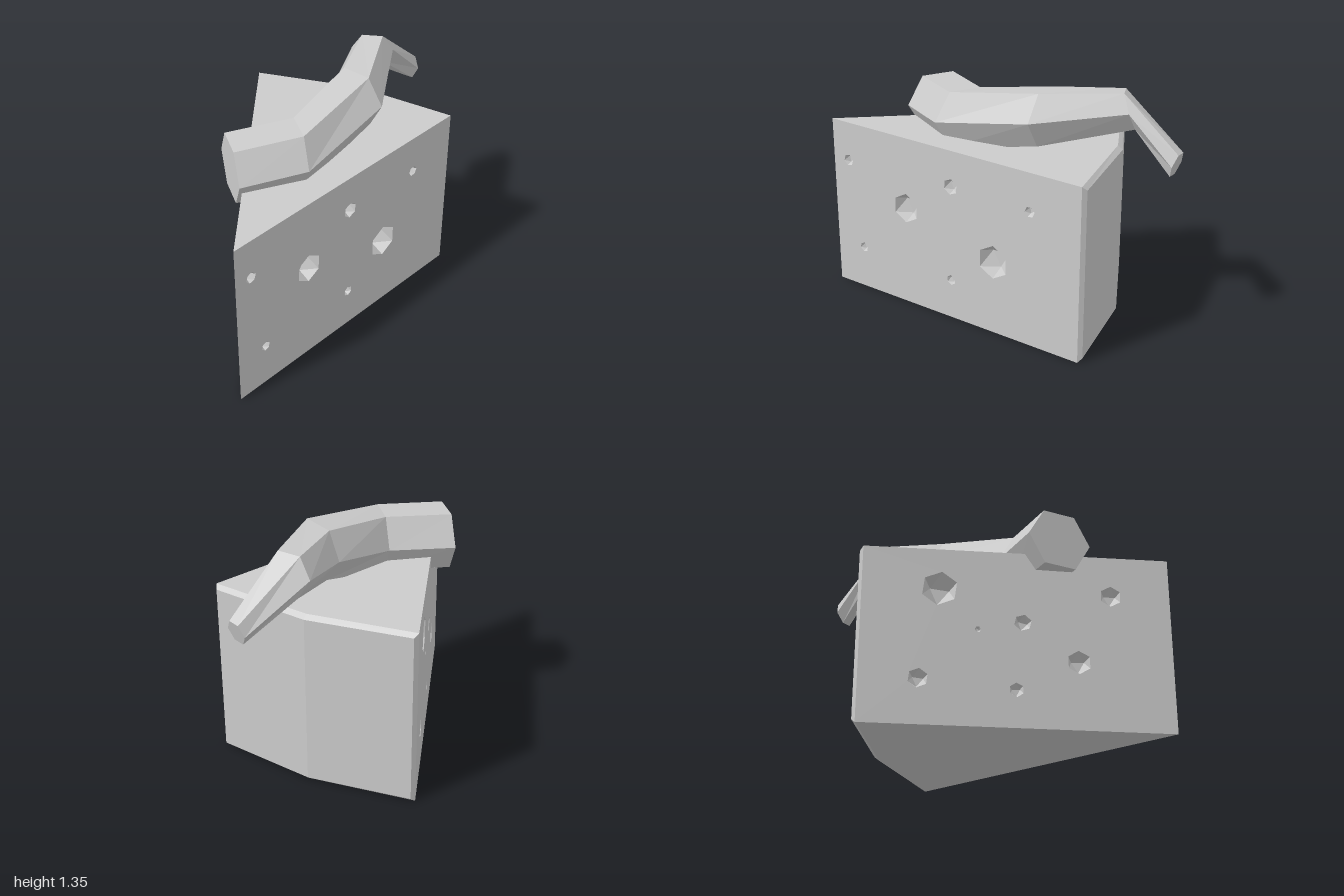
import * as THREE from 'three';

const material = new THREE.MeshStandardMaterial({ color: 0xcccccc, flatShading: true });
const H = 1.01, TIP_Z = 0.99, BACK_X = 0.59, BACK_Z = -0.56;
const LEN = Math.hypot(BACK_X, TIP_Z - BACK_Z);

// Mesh from a list of triangles, each three [x, y, z] corners
function facetMesh(name, tris) {
  const geo = new THREE.BufferGeometry();
  geo.setAttribute('position', new THREE.Float32BufferAttribute(tris.flat(2), 3));
  geo.computeVertexNormals();
  const mesh = new THREE.Mesh(geo, material);
  mesh.name = name;
  return mesh;
}

// Flat side wall pierced by hexagonal holes, each with a faceted hollow behind it
// holes: [distance along wall, height, radius, rotation]
function sideWall(name, origin, dir, holes) {
  const group = new THREE.Group();
  group.name = name;
  const shape = new THREE.Shape([[0, 0], [LEN, 0], [LEN, H], [0, H]].map(p => new THREE.Vector2(...p)));
  const tris = [];
  for (const [s, y, r, turn] of holes) {
    const at = (k, radius, depth) => {
      const a = turn + k * Math.PI / 3;
      return [s + radius * Math.cos(a), y + radius * Math.sin(a), -depth];
    };
    const rim = k => at(k, r, 0), floor = j => at(2 * j, r * 0.6, r * 0.8);
    shape.holes.push(new THREE.Path([5, 4, 3, 2, 1, 0].map(k => new THREE.Vector2(...rim(k).slice(0, 2)))));
    tris.push([floor(0), floor(1), floor(2)]);
    for (let j = 0; j < 3; j++) {
      tris.push([floor(j), rim(2 * j - 1), rim(2 * j)],
        [floor(j), rim(2 * j), rim(2 * j + 1)],
        [floor(j), rim(2 * j + 1), floor(j + 1)]);
    }
  }
  const wall = new THREE.Mesh(new THREE.ShapeGeometry(shape), material);
  wall.name = name + 'Face';
  group.add(wall, facetMesh(name + 'Hollows', tris));

  const up = new THREE.Vector3(0, 1, 0);
  const along = new THREE.Vector3(...dir).normalize();
  group.applyMatrix4(new THREE.Matrix4()
    .makeBasis(along, up, along.clone().cross(up)).setPosition(...origin));
  return group;
}

// Top, bottom and the bevelled, slightly bent rind
function wedgeShell() {
  const outer = [[BACK_X, BACK_Z], [BACK_X, BACK_Z], [0, -0.638], [-BACK_X, BACK_Z], [-BACK_X, BACK_Z]];
  const inner = [[BACK_X, BACK_Z], [0.575, -0.585], [0, -0.665], [-0.575, -0.585], [-BACK_X, BACK_Z]];
  const rows = [[outer, 0], [inner, 0.022], [inner, H - 0.022], [outer, H]]
    .map(([line, y]) => line.map(([x, z]) => [x, y, z]));
  const rind = [], caps = [];
  for (let r = 0; r < 3; r++) {
    for (let c = 0; c < 4; c++) {
      const a = rows[r][c], b = rows[r][c + 1], d = rows[r + 1][c + 1], e = rows[r + 1][c];
      rind.push([a, b, d], [a, d, e]);
    }
  }
  for (const [row, y] of [[rows[3], H], [rows[0], 0]]) {
    for (const c of [1, 2]) {
      const tri = [[0, y, TIP_Z], row[c], row[c + 1]];
      caps.push(y ? tri : tri.reverse());
    }
  }
  return [facetMesh('rind', rind), facetMesh('topAndBottom', caps)];
}

// Six-sided bent tail lofted through cross-sections
function bentTail() {
  // centre, half-width vector, half-height vector
  const sections = [
    [[-0.28, 1.07, 0.45], [0.122, 0, 0.142], [0, 0.185, 0]],
    [[0.002, 1.09, 0.208], [0.118, 0, 0.138], [0, 0.185, 0]],
    [[0.135, 1.19, -0.28], [0.168, 0.01, 0.066], [-0.01, 0.165, 0]],
    [[0.06, 1.245, -0.705], [0.12, 0.012, -0.01], [0.01, 0.115, 0.035]],
    [[0.2, 1.015, -0.975], [0.06, 0.005, 0.018], [0, 0.07, -0.022]],
  ];
  const rings = sections.map(([c, w, h]) => Array.from({ length: 6 }, (_, k) => {
    const a = k * Math.PI / 3;
    return c.map((v, i) => v + w[i] * Math.cos(a) + h[i] * Math.sin(a));
  }));
  const tris = [];
  for (let k = 0; k < 6; k++) {
    const n = (k + 1) % 6;
    for (let i = 0; i < rings.length - 1; i++) {
      const p = rings[i], q = rings[i + 1];
      tris.push([p[k], q[k], q[n]], [p[k], q[n], p[n]]);
    }
    // End caps
    tris.push([sections[0][0], rings[0][k], rings[0][n]],
      [sections[4][0], rings[4][n], rings[4][k]]);
  }
  return facetMesh('tail', tris);
}

export function createModel() {
  const model = new THREE.Group();
  model.name = 'wedgeWithTail';

  // Left wall holes: z, y, radius, rotation
  const leftHoles = [
    [0.89, 0.78, 0.034, 0.2], [0.505, 0.59, 0.087, 0.5], [0.21, 0.8, 0.046, 0.4],
    [-0.27, 0.79, 0.031, 0.1], [-0.05, 0.43, 0.098, 0.52], [0.81, 0.255, 0.029, 0.3],
    [0.215, 0.235, 0.03, 0.6],
  ].map(([z, ...rest]) => [(TIP_Z - z) * LEN / (TIP_Z - BACK_Z), ...rest]);

  // Right wall holes: x, y, radius, rotation
  const rightHoles = [
    [-0.443, 0.775, 0.1, 0.4], [-0.115, 0.775, 0.06, 0.5], [-0.285, 0.595, 0.048, 0.3],
    [-0.37, 0.545, 0.017, 0], [-0.18, 0.38, 0.066, 0.55], [-0.48, 0.255, 0.055, 0.4],
    [-0.298, 0.21, 0.04, 0.6],
  ].map(([x, ...rest]) => [LEN + x * LEN / BACK_X, ...rest]);

  const run = TIP_Z - BACK_Z;
  model.add(
    sideWall('leftWall', [0, 0, TIP_Z], [BACK_X, 0, -run], leftHoles),
    sideWall('rightWall', [-BACK_X, 0, BACK_Z], [BACK_X, 0, run], rightHoles),
    ...wedgeShell(),
    bentTail(),
  );
  return model;
}
